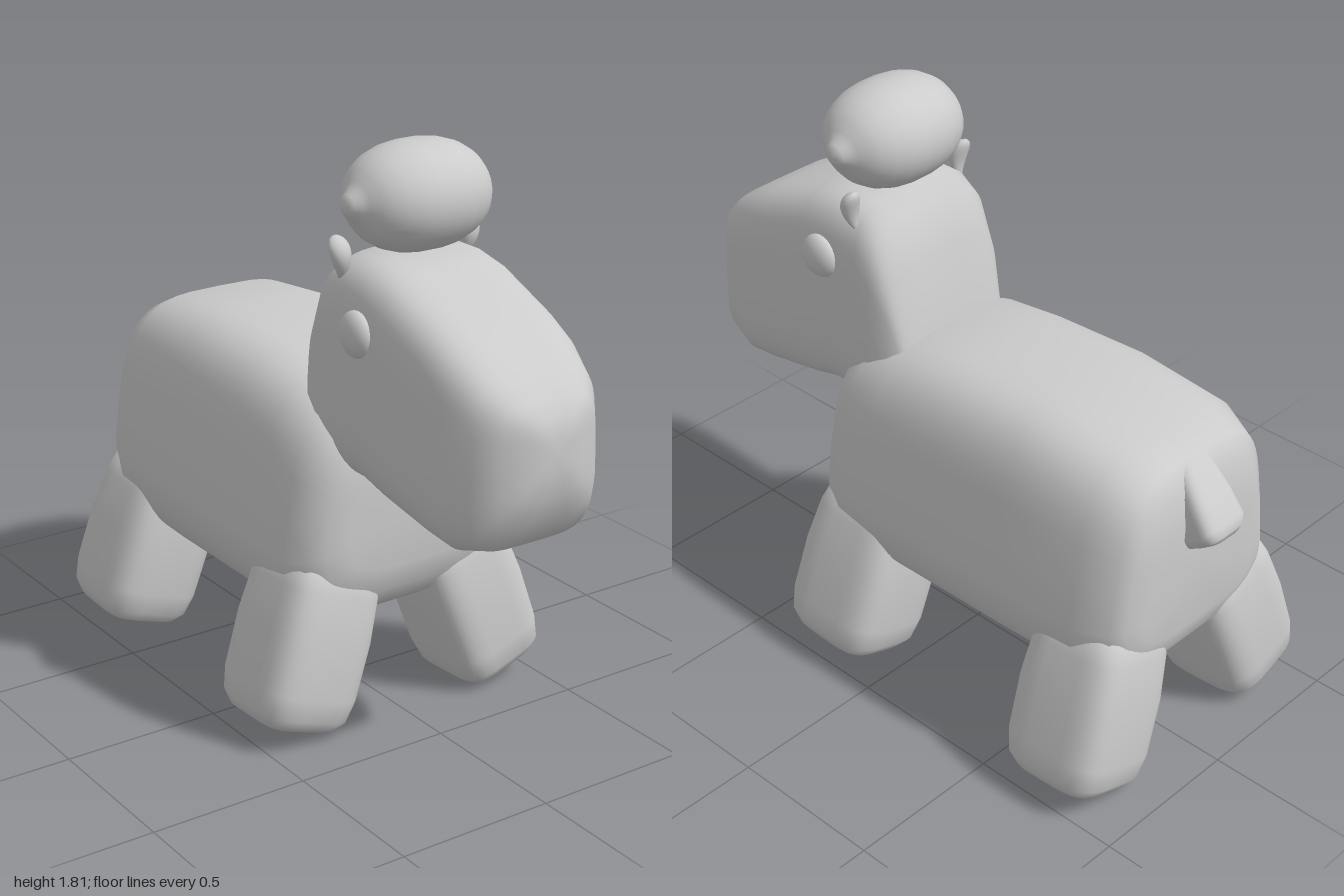
import * as THREE from 'three';

const material = new THREE.MeshStandardMaterial({ color: 0xcccccc });

// Closed loft of rounded-square sections along z; rows are [z, halfWidth, yMin, yMax]
function loft(rows, power, taper = 0, segments = 48) {
  const positions = [], index = [];
  const soft = (v) => Math.sign(v) * Math.abs(v) ** (2 / power);
  for (const [z, halfWidth, yMin, yMax] of rows) {
    for (let j = 0; j < segments; j++) {
      const a = (j / segments) * Math.PI * 2;
      const v = soft(Math.sin(a));
      const narrowing = 1 - taper * Math.max(0, v + 0.3);
      positions.push(halfWidth * soft(Math.cos(a)) * narrowing, (yMin + yMax) / 2 + (v * (yMax - yMin)) / 2, z);
    }
  }
  const last = rows.length - 1, start = rows.length * segments;
  for (const [z, , yMin, yMax] of [rows[0], rows[last]]) positions.push(0, (yMin + yMax) / 2, z);
  for (let j = 0; j < segments; j++) {
    const k = (j + 1) % segments;
    for (let i = 0; i < last; i++) {
      const a = i * segments + j, b = i * segments + k;
      index.push(a, b, b + segments, a, b + segments, a + segments);
    }
    index.push(start, k, j, start + 1, last * segments + j, last * segments + k);
  }
  const geometry = new THREE.BufferGeometry();
  geometry.setAttribute('position', new THREE.Float32BufferAttribute(positions, 3));
  geometry.setIndex(index);
  geometry.computeVertexNormals();
  return geometry;
}

function add(parent, name, geometry) {
  const mesh = new THREE.Mesh(geometry, material);
  mesh.name = name;
  parent.add(mesh);
  return mesh;
}

export function createModel() {
  const model = new THREE.Group();
  model.name = 'sheep';

  // Body, narrower along the back
  add(model, 'body', loft([
    [-0.89, 0.25, 0.5, 0.88], [-0.87, 0.31, 0.43, 0.98], [-0.84, 0.35, 0.39, 1.06],
    [-0.73, 0.395, 0.35, 1.11], [-0.43, 0.4, 0.34, 1.14], [-0.1, 0.4, 0.34, 1.125],
    [0.1, 0.4, 0.34, 1.1], [0.23, 0.39, 0.345, 1.055], [0.3, 0.36, 0.39, 1.01],
    [0.34, 0.31, 0.45, 0.94], [0.36, 0.24, 0.53, 0.86],
  ], 4, 0.15));

  // Head with a long drooping muzzle
  add(model, 'head', loft([
    [0.08, 0.19, 0.85, 1.0], [0.1, 0.22, 0.84, 1.1], [0.15, 0.245, 0.83, 1.32],
    [0.21, 0.26, 0.83, 1.46], [0.27, 0.263, 0.83, 1.5], [0.4, 0.265, 0.83, 1.5],
    [0.5, 0.265, 0.805, 1.48], [0.7, 0.26, 0.77, 1.4], [0.8, 0.25, 0.755, 1.35],
    [0.9, 0.22, 0.785, 1.28], [0.96, 0.17, 0.87, 1.225], [0.99, 0.1, 0.95, 1.18],
    [1.0, 0.05, 1.02, 1.13],
  ], 4.5, 0.04));

  // Tuft on the head, turned about x with a small nub at each side
  const half = [[0, 0.25], [0.018, 0.249], [0.034, 0.238], [0.046, 0.222], [0.065, 0.208],
    [0.09, 0.192], [0.115, 0.168], [0.138, 0.13], [0.154, 0.08], [0.16, 0.03]];
  const outline = [...half.map(([r, x]) => new THREE.Vector2(r, -x)),
    ...half.slice().reverse().map(([r, x]) => new THREE.Vector2(r, x))];
  const tuft = add(model, 'tuft', new THREE.LatheGeometry(outline, 40).rotateZ(-Math.PI / 2));
  tuft.scale.z = 1.12;
  tuft.position.set(0, 1.658, 0.348);

  // Leg running up from a rounded foot
  const legGeometry = loft([
    [0, 0.1, -0.11, 0.11], [0.015, 0.132, -0.145, 0.145], [0.05, 0.155, -0.172, 0.172],
    [0.12, 0.166, -0.183, 0.183], [0.3, 0.169, -0.182, 0.182], [0.44, 0.163, -0.168, 0.168],
    [0.51, 0.15, -0.15, 0.15], [0.55, 0.11, -0.11, 0.11],
  ], 4).rotateX(-Math.PI / 2);

  // Curved teardrop ear, pointing down
  const earGeometry = new THREE.SphereGeometry(1, 20, 16);
  const p = earGeometry.attributes.position;
  for (let i = 0; i < p.count; i++) {
    const y = p.getY(i), width = 0.65 + 0.35 * y;
    p.setXYZ(i, p.getX(i) * 0.045 * width, y * 0.07, p.getZ(i) * 0.036 * width + 0.022 * (1 - y * y));
  }
  earGeometry.computeVertexNormals();

  for (const side of [1, -1]) {
    const label = side > 0 ? 'left' : 'right';
    for (const end of [1, -1]) {
      const leg = add(model, label + (end > 0 ? 'FrontLeg' : 'BackLeg'), legGeometry);
      leg.position.set(side * 0.385, 0.042, -0.27 + end * 0.475);
      leg.rotation.set(-end * 0.05, 0, side * 0.33);
    }
    const eye = add(model, label + 'Eye', new THREE.SphereGeometry(0.069, 28, 20));
    eye.scale.x = 0.55;
    eye.position.set(side * 0.252, 1.305, 0.413);

    const ear = add(model, label + 'Ear', earGeometry);
    ear.position.set(side * 0.225, 1.49, 0.28);
    ear.rotation.z = -side * 0.15;
  }

  // Short tail, wider at its tip
  const tail = add(model, 'tail', loft([
    [0, 0.055, -0.05, 0.045], [0.012, 0.08, -0.066, 0.06], [0.04, 0.09, -0.072, 0.07],
    [0.12, 0.085, -0.07, 0.07], [0.25, 0.066, -0.06, 0.06], [0.28, 0.05, -0.045, 0.045],
  ], 4, 0, 32).rotateX(-Math.PI / 2));
  tail.position.set(0, 0.815, -0.943);
  tail.rotation.x = 0.63;

  return model;
}
